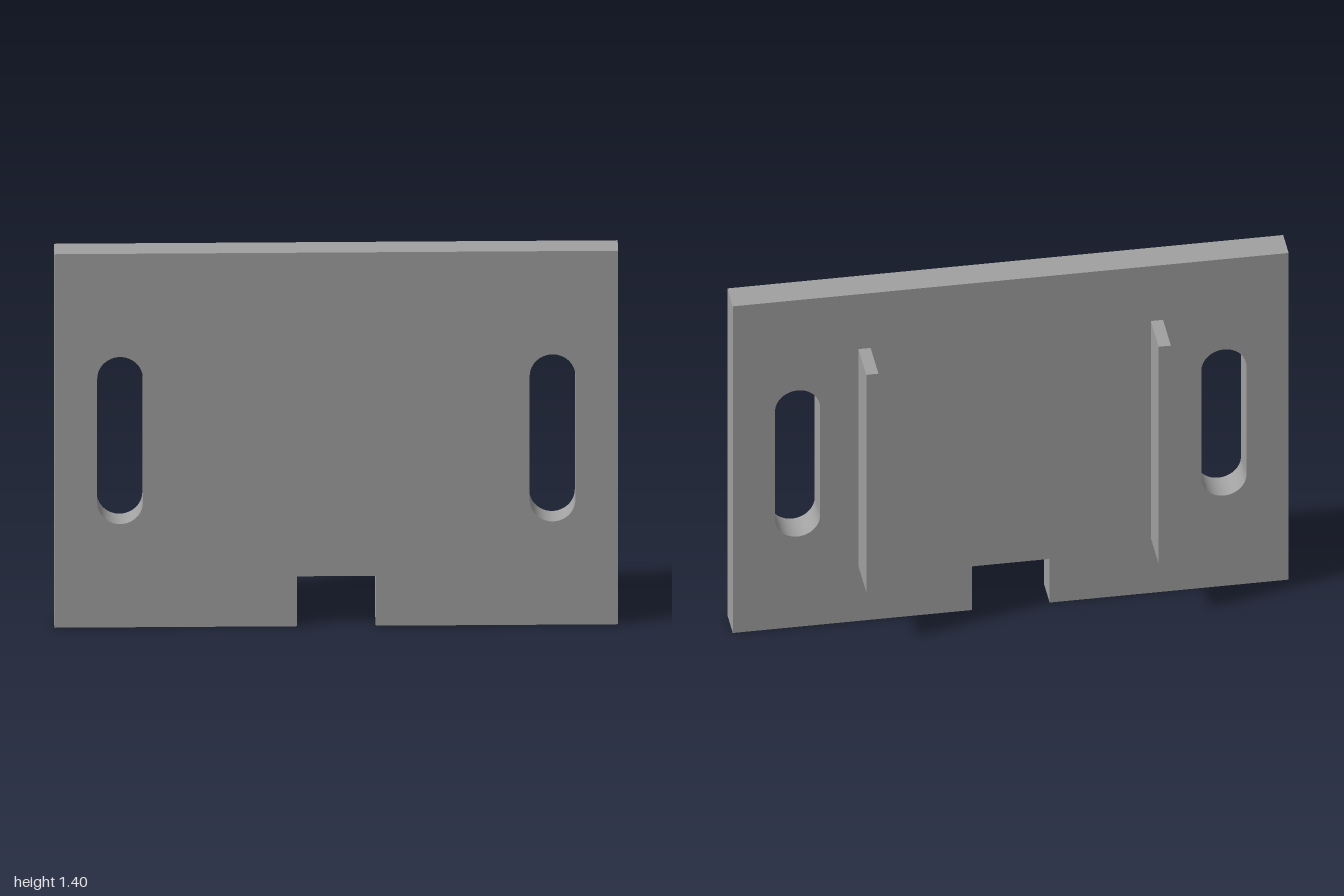
import * as THREE from 'three';

const BACK = 0.025, FRONT = 0.14;

// Vertical slot with rounded ends
function slotPath(x, y0, y1, r) {
  const path = new THREE.Path();
  path.moveTo(x + r, y0 + r);
  path.lineTo(x + r, y1 - r);
  path.absarc(x, y1 - r, r, 0, Math.PI, false);
  path.lineTo(x - r, y0 + r);
  path.absarc(x, y0 + r, r, Math.PI, Math.PI * 2, false);
  return path;
}

export function createModel() {
  const group = new THREE.Group();
  group.name = 'slottedPlate';
  const grey = new THREE.MeshStandardMaterial({ color: 0xa0a0a0 });
  grey.name = 'plainGrey';

  // Plate outline with a notch in the bottom edge
  const outline = new THREE.Shape([
    [-1, 0], [-0.14, 0], [-0.14, 0.187], [0.14, 0.187],
    [0.14, 0], [1, 0], [1, 1.4], [-1, 1.4],
  ].map(([x, y]) => new THREE.Vector2(x, y)));
  for (const side of [-1, 1]) outline.holes.push(slotPath(side * 0.767, 0.387, 1.013, 0.081));

  const plate = new THREE.Mesh(
    new THREE.ExtrudeGeometry(outline, { depth: FRONT - BACK, bevelEnabled: false, curveSegments: 24 }), grey);
  plate.name = 'plate';
  plate.position.z = BACK;
  group.add(plate);

  // Two upright ribs on the back
  const ribDepth = BACK + 0.14;
  for (const [name, side] of [['leftRib', 1], ['rightRib', -1]]) {
    const rib = new THREE.Mesh(new THREE.BoxGeometry(0.044, 0.93, ribDepth), grey);
    rib.name = name;
    rib.position.set(side * 0.526, 0.7, BACK - ribDepth / 2);
    group.add(rib);
  }
  return group;
}
